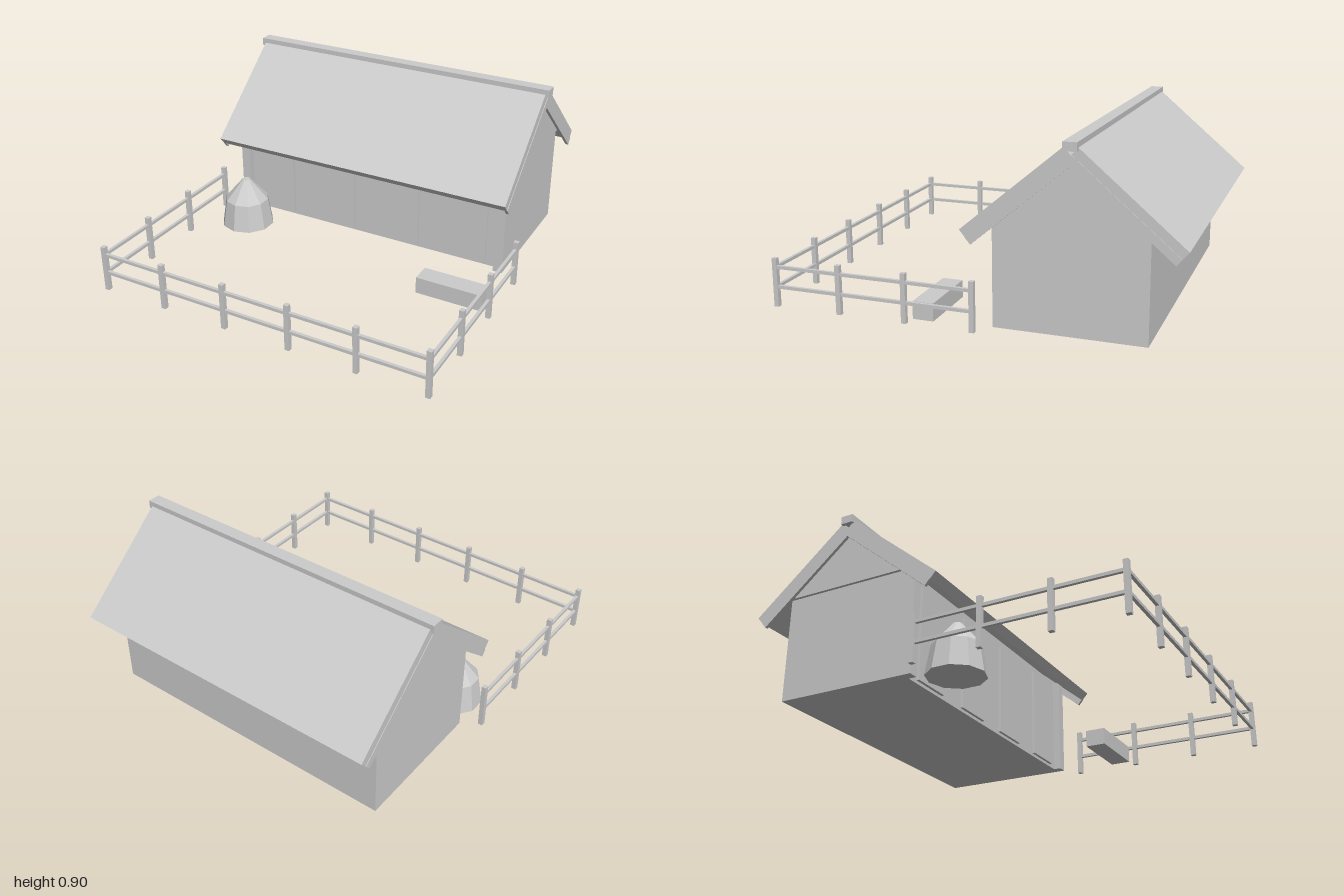
import * as THREE from 'three';

export function createModel() {
  const root = new THREE.Group();
  root.name = 'stableYard';
  const grey = new THREE.MeshStandardMaterial({ color: 0xcccccc });
  grey.name = 'lightGrey';
  grey.flatShading = true;

  const add = (name, geometry, parent = root) => {
    const mesh = new THREE.Mesh(geometry, grey);
    mesh.name = name;
    parent.add(mesh);
    return mesh;
  };
  // Box given by its lower and upper limits on each axis
  const box = (name, x0, x1, y0, y1, z0, z1, parent = root) => {
    const mesh = add(name, new THREE.BoxGeometry(x1 - x0, y1 - y0, z1 - z0), parent);
    mesh.position.set((x0 + x1) / 2, (y0 + y1) / 2, (z0 + z1) / 2);
    return mesh;
  };
  // Outline in (z, y) extruded along x
  const prism = (name, outline, x0, x1, parent = root) => {
    const shape = new THREE.Shape(outline.map(([z, y]) => new THREE.Vector2(-z, y)));
    const geometry = new THREE.ExtrudeGeometry(shape, { depth: x1 - x0, bevelEnabled: false });
    geometry.rotateY(Math.PI / 2).translate(x0, 0, 0);
    return add(name, geometry, parent);
  };

  // Stable walls and gables
  const ridgeZ = -0.48;
  box('walls', -0.8, 0.8, 0, 0.54, -0.83, -0.14);
  prism('gable', [[-0.14, 0.54], [-0.83, 0.54], [ridgeZ, 0.825]], -0.815, 0.815);

  // Front doors and corner posts
  for (const x of [-0.58, -0.19, 0.195, 0.585]) {
    box('door', x - 0.108, x + 0.108, 0.015, 0.5, -0.14, -0.125);
  }
  for (const s of [-1, 1]) {
    box('cornerPost', s * 0.775 - 0.025, s * 0.775 + 0.025, 0, 0.53, -0.14, -0.1);
  }

  // Roof slopes with boards along the gable edges
  const angle = Math.atan(0.845);
  const ny = Math.cos(angle), nz = Math.sin(angle);
  const slope = (name, side, near, far, x0, x1) => {
    // near and far are depths below the roof surface
    const eave = [0.522, 0.465];
    const length = 0.522 / ny - 0.05 * Math.tan(angle);
    const at = (along, depth) => [
      ridgeZ + side * (eave[0] - ny * along - nz * depth),
      eave[1] + nz * along - ny * depth,
    ];
    prism(name, [at(0, near), at(length, near), at(length, far), at(0, far)], x0, x1);
  };
  for (const side of [-1, 1]) {
    slope('roofSlope', side, 0, 0.05, -0.842, 0.842);
    for (const s of [-1, 1]) {
      slope('gableBoard', side, 0.045, 0.085, s * 0.837 - 0.008, s * 0.837 + 0.008);
    }
  }
  box('ridgeCap', -0.86, 0.86, 0.862, 0.904, ridgeZ - 0.033, ridgeZ + 0.033);

  // Paddock fence: front run and two side runs
  const fence = new THREE.Group();
  fence.name = 'fence';
  root.add(fence);
  const fx = 0.888, fz = 0.985, backZ = -0.035, r = 0.012, t = 0.008;
  const post = (x, z) => box('fencePost', x - r, x + r, 0, 0.245, z - r, z + r, fence);
  for (let i = 0; i < 6; i++) post(-fx + (i * 2 * fx) / 5, fz);
  for (const s of [-1, 1]) {
    for (let i = 1; i < 4; i++) post(s * fx, fz - i * 0.34);
  }
  for (const y of [0.1, 0.2]) {
    box('frontRail', -fx, fx, y - t, y + t, fz - t, fz + t, fence);
    for (const s of [-1, 1]) {
      box('sideRail', s * fx - t, s * fx + t, y - t, y + t, backZ, fz, fence);
    }
  }

  // Haystack
  const profile = [[0, 0], [0.145, 0], [0.12, 0.15], [0.022, 0.265], [0, 0.265]]
    .map(([x, y]) => new THREE.Vector2(x, y));
  add('haystack', new THREE.LatheGeometry(profile, 10).toNonIndexed()).position.set(-0.668, 0, 0.06);

  // Trough
  box('trough', 0.49, 0.84, 0.005, 0.093, 0.18, 0.285);

  return root;
}
